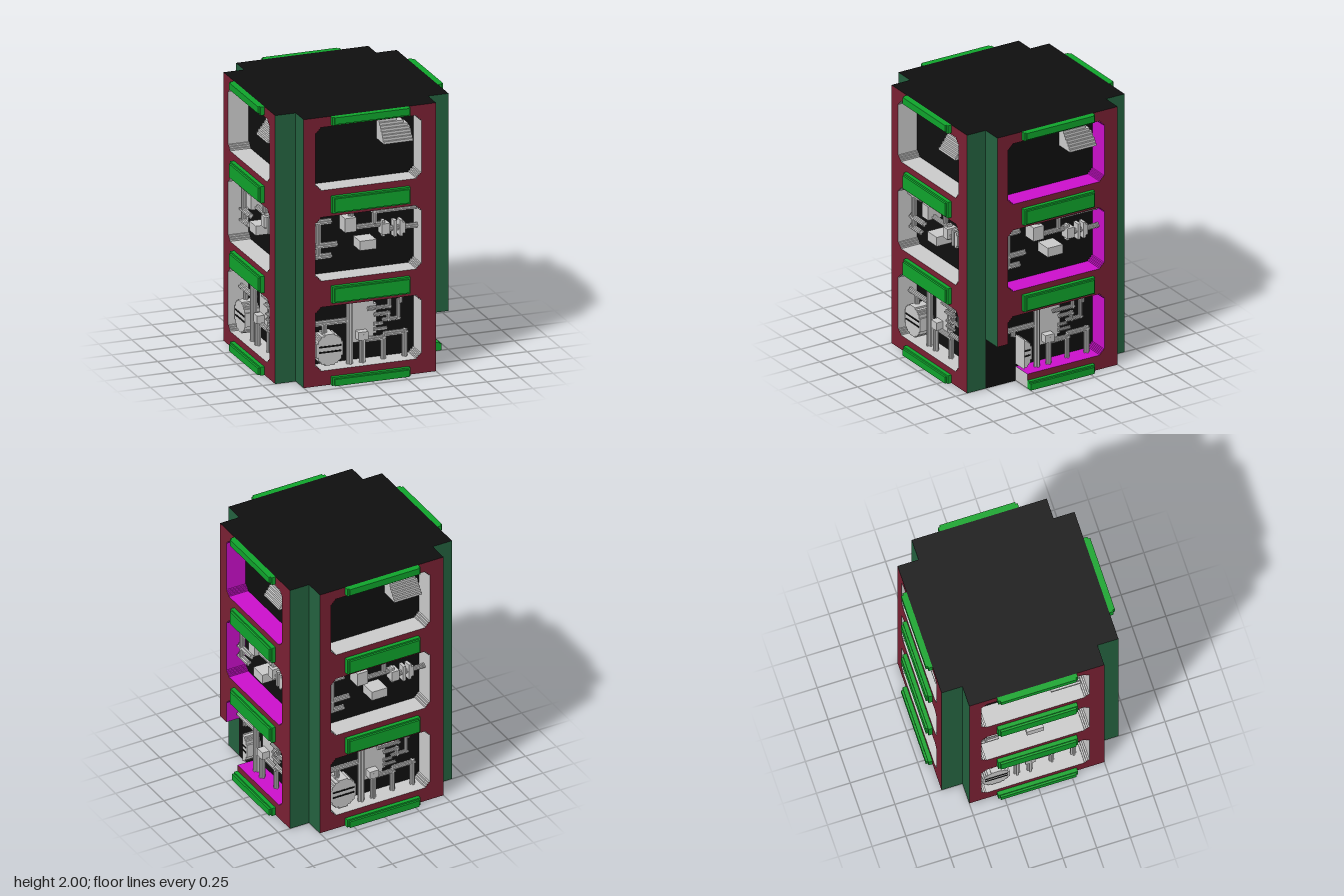
import * as THREE from 'three';

const mat = (color) => new THREE.MeshStandardMaterial({ color, side: THREE.DoubleSide });
const GREY = mat(0xcccccc), RED = mat(0x7a2033), DARK = mat(0x24623f),
  GREEN = mat(0x10a42c), BLACK = mat(0x0f0f0f), MAGENTA = mat(0xcc10cc);
const R = 0.655, C = 0.5, CUT_X = -0.25, CUT_Y = 0.38;
const WX0 = -0.41, WX1 = 0.39, STEP = 0.0125, STEPS = 3;
const WINDOWS = [[0.11, 0.585], [0.78, 1.255], [1.455, 1.925]];

// Window outline, counter-clockwise, with stair-stepped corners
function windowPoints(y0, y1) {
  const c = STEP * STEPS, pts = [];
  const corner = (x, y, a, b) => {
    pts.push([x, y]);
    for (let i = 0; i < STEPS; i++) {
      for (const d of [a, b]) { x += d[0] * STEP; y += d[1] * STEP; pts.push([x, y]); }
    }
  };
  corner(WX1 - c, y0, [0, 1], [1, 0]);
  corner(WX1, y1 - c, [-1, 0], [0, 1]);
  corner(WX0 + c, y1, [0, -1], [-1, 0]);
  corner(WX0, y0 + c, [1, 0], [0, -1]);
  return pts;
}

const vecs = (pts) => pts.map(([x, y]) => new THREE.Vector2(x, y));

function add(group, name, geo, material) {
  const m = new THREE.Mesh(geo, material);
  m.name = name;
  group.add(m);
  return m;
}

// Wall following a line of points, from the core out to the face plate
function wall(group, name, pts, material, closed = false) {
  const pos = [], n = closed ? pts.length : pts.length - 1;
  for (let i = 0; i < n; i++) {
    const [ax, ay] = pts[i], [bx, by] = pts[(i + 1) % pts.length];
    pos.push(ax, ay, C, bx, by, C, bx, by, R, ax, ay, C, bx, by, R, ax, ay, R);
  }
  const g = new THREE.BufferGeometry();
  g.setAttribute('position', new THREE.Float32BufferAttribute(pos, 3));
  g.computeVertexNormals();
  add(group, name, g, material);
}

// Box by its limits; on the broken face the missing corner is trimmed off
function box(group, name, x0, x1, y0, y1, z0, z1, material, cut) {
  if (cut && x0 < CUT_X && y0 < CUT_Y) {
    if (y1 > CUT_Y) box(group, name, x0, x1, CUT_Y, y1, z0, z1, material, false);
    if (x1 > CUT_X) box(group, name, CUT_X, x1, y0, Math.min(y1, CUT_Y), z0, z1, material, false);
    return;
  }
  const g = new THREE.BoxGeometry(x1 - x0, y1 - y0, z1 - z0);
  g.translate((x0 + x1) / 2, (y0 + y1) / 2, (z0 + z1) / 2);
  add(group, name, g, material);
}

// Pipes: x0, x1, y0, y1, depth of the centre line
const PIPES = [
  // middle window
  [-0.37, -0.333, 0.92, 1.19, 0.06], [-0.405, -0.255, 1.165, 1.205, 0.06],
  [-0.39, -0.21, 0.99, 1.03, 0.06], [-0.39, -0.255, 0.91, 0.95, 0.06],
  [-0.125, -0.087, 1.2, 1.25, 0.06], [-0.085, 0.11, 1.098, 1.135, 0.06],
  [0.05, 0.087, 1.13, 1.235, 0.06], [0.05, 0.39, 1.198, 1.235, 0.06],
  [0.11, 0.39, 1.06, 1.097, 0.07],
  // lower window
  [-0.4, -0.14, 0.41, 0.45, 0.06], [-0.327, -0.29, 0.34, 0.42, 0.06],
  [-0.145, -0.1, 0.11, 0.583, 0.075], [-0.05, -0.008, 0.11, 0.32, 0.08],
  [0.12, 0.157, 0.11, 0.285, 0.06], [0.0, 0.157, 0.25, 0.287, 0.06],
  [0.28, 0.32, 0.11, 0.312, 0.06], [0.14, 0.32, 0.275, 0.312, 0.06],
  [0.17, 0.2, 0.48, 0.583, 0.06], [0.02, 0.2, 0.48, 0.51, 0.06],
  [0.25, 0.28, 0.51, 0.583, 0.06], [0.235, 0.265, 0.39, 0.54, 0.06],
  [0.13, 0.265, 0.385, 0.415, 0.06], [0.16, 0.19, 0.385, 0.46, 0.06],
  [0.07, 0.19, 0.43, 0.46, 0.06], [0.07, 0.14, 0.36, 0.385, 0.05],
  [0.07, 0.17, 0.32, 0.345, 0.05],
];

// Blocks, valves and flanges: x0, x1, y0, y1, near depth, far depth
const BLOCKS = [
  ['junctionBox', -0.17, -0.085, 1.1, 1.205, 0, 0.11],
  ['controlBox', -0.065, 0.06, 0.96, 1.03, 0, 0.13],
  ['valve', 0.11, 0.17, 1.05, 1.13, 0.03, 0.11],
  ['valve', 0.12, 0.14, 1.03, 1.15, 0.05, 0.09],
  ['flange', 0.205, 0.228, 1.02, 1.14, 0.04, 0.1],
  ['flange', 0.25, 0.272, 1.02, 1.14, 0.04, 0.1],
  ['flange', 0.272, 0.29, 1.04, 1.12, 0.04, 0.1],
  ['wallPanel', -0.085, 0.07, 0.25, 0.585, 0, 0.045],
  ['valve', -0.065, 0.01, 0.28, 0.34, 0.045, 0.1],
  ['connector', 0.065, 0.095, 0.3, 0.52, 0, 0.04],
];

function machinery(face, cut) {
  for (const [x0, x1, y0, y1, z] of PIPES) {
    const alongX = x1 - x0 > y1 - y0, w = Math.min(x1 - x0, y1 - y0), t = w / 3, zc = C + z;
    const ix = alongX ? 0 : t, iy = alongX ? t : 0;
    box(face, 'pipe', x0, x1, y0, y1, zc - t / 2, zc + t / 2, GREY, cut);
    box(face, 'pipeRidge', x0 + ix, x1 - ix, y0 + iy, y1 - iy, zc - w / 2, zc + w / 2, GREY, cut);
  }
  for (const [name, x0, x1, y0, y1, z0, z1] of BLOCKS) {
    box(face, name, x0, x1, y0, y1, C + z0, C + z1, GREY, cut);
  }
  // Round tank built from rows, with two dark slots
  const rows = 18, h = 0.23 / rows;
  for (let i = 0; i < rows; i++) {
    const y = 0.13 + i * h, u = (i + 0.5) / rows * 2 - 1;
    const w = Math.round(0.105 * Math.sqrt(1 - u * u) / STEP) * STEP;
    box(face, 'tank', -0.287 - w, -0.287 + w, y, y + h, C, C + 0.115, GREY, cut);
  }
  for (const y of [0.225, 0.265]) {
    box(face, 'tankSlot', -0.37, -0.2, y, y + 0.012, C + 0.11, C + 0.118, BLACK, cut);
  }
  // Sloping hood of stepped slats in the top window
  for (let i = 0; i < 8; i++) {
    const y = 1.735 + i * 0.019;
    const x1 = 0.33 - [0, 0, 0, 0, 0, 0.012, 0.04, 0.085][i];
    box(face, 'hoodSlat', 0.11, x1, y, y + 0.019, C, C + 0.145 - i * 0.014, GREY, cut);
  }
}

function createFace(cut) {
  const face = new THREE.Group();
  face.name = cut ? 'brokenSide' : 'side';
  const lining = cut ? MAGENTA : GREY;
  let outline = [[-C, 0], [C, 0], [C, 2], [-C, 2]];
  const holes = WINDOWS.map(([a, b]) => windowPoints(a, b));
  if (cut) {
    // The lower window opens into the missing corner
    const low = holes.shift();
    const edge = low.slice(0, 3 * (2 * STEPS + 1)).reverse();
    edge.unshift([WX0, CUT_Y]);
    edge.push([CUT_X, WINDOWS[0][0]]);
    outline = [[C, 0], [C, 2], [-C, 2], [-C, CUT_Y], ...edge, [CUT_X, 0]];
    wall(face, 'windowLining', edge, lining);
    wall(face, 'brokenEdge', [[-C, CUT_Y], [WX0, CUT_Y]], GREY);
    wall(face, 'brokenEdge', [[CUT_X, 0], [CUT_X, WINDOWS[0][0]]], GREY);
  }
  const shape = new THREE.Shape(vecs(outline));
  for (const h of holes) {
    shape.holes.push(new THREE.Path(vecs(h)));
    wall(face, 'windowLining', h, lining, true);
  }
  add(face, 'facePlate', new THREE.ShapeGeometry(shape), RED).position.z = R;
  wall(face, 'cornerPanel', [[C, 0], [C, 2]], DARK);
  wall(face, 'cornerPanel', [[-C, cut ? CUT_Y : 0], [-C, 2]], DARK);

  // Two-layer trim bars between the windows, halved at top and bottom
  for (const y of [0, 0.675, 1.345, 2]) {
    for (const [w, h, z0, z1] of [[0.295, 0.062, R, 0.685], [0.28, 0.05, 0.685, 0.7]]) {
      box(face, 'trimBar', -w, w, Math.max(0, y - h), Math.min(2, y + h), z0, z1, GREEN, cut);
    }
  }
  machinery(face, cut);
  return face;
}

// Cross-shaped end cap; armEnd shortens one edge where the corner is missing
function capShape(armEnd) {
  return new THREE.Shape(vecs([[C, -R], [C, -C], [R, -C], [R, armEnd], [C, armEnd], [C, R],
    [-C, R], [-C, C], [-R, C], [-R, -C], [-C, -C], [-C, -R]]));
}

export function createModel() {
  const model = new THREE.Group();
  model.name = 'tower';
  add(model, 'core', new THREE.BoxGeometry(2 * C, 1.998, 2 * C), BLACK).position.y = 1;
  add(model, 'topCap', new THREE.ShapeGeometry(capShape(C)).rotateX(-Math.PI / 2), BLACK).position.y = 2;
  add(model, 'bottomCap', new THREE.ShapeGeometry(capShape(-CUT_X)).rotateX(Math.PI / 2), BLACK);
  for (let i = 0; i < 4; i++) {
    const face = createFace(i === 1);
    face.rotation.y = i * Math.PI / 2;
    model.add(face);
  }
  return model;
}
